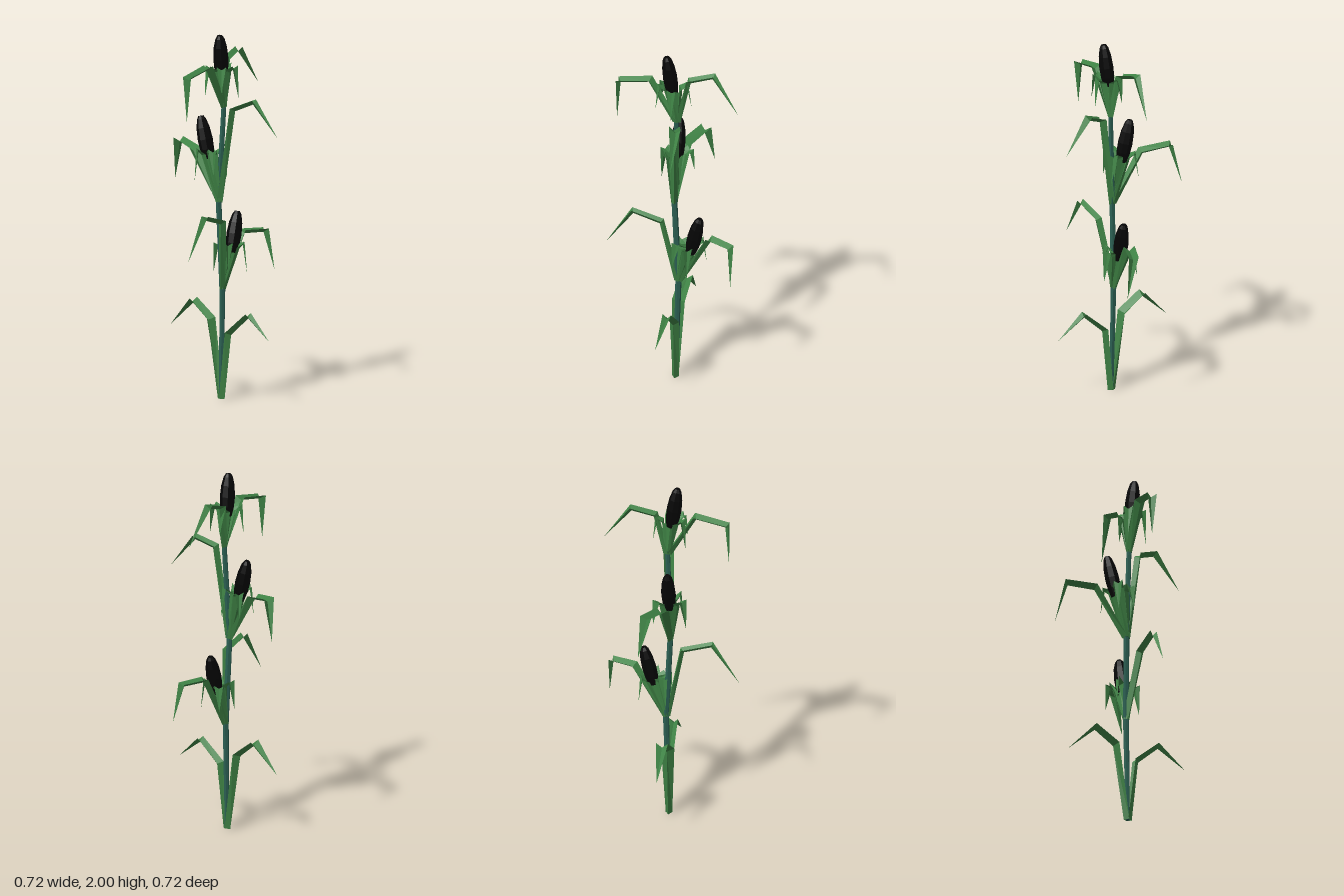
import * as THREE from 'three';

const V = (p) => new THREE.Vector3(...p);
const UP = new THREE.Vector3(0, 1, 0);

// Folded leaf: a V-shaped gutter swept along a few points, closing in a tip.
function leafGeometry(points, widths, fold) {
  const path = points.map(V);
  const last = path.length - 1;
  const out = path[last].clone().sub(path[0]).setY(0).normalize();
  const side = UP.clone().cross(out).normalize();
  const pos = [];
  const index = [];
  path.forEach((p, i) => {
    const before = p.clone().sub(path[Math.max(i - 1, 0)]).normalize();
    const after = path[Math.min(i + 1, last)].clone().sub(p).normalize();
    const normal = before.add(after).normalize().cross(side).normalize();
    const w = widths[i];
    const d = fold * Math.min(1, w / 0.018);
    const edge = (k) => p.clone().addScaledVector(side, k * w).addScaledVector(normal, d / 2);
    const keel = p.clone().addScaledVector(normal, -d / 2);
    pos.push(...edge(-1).toArray(), ...keel.toArray(), ...edge(1).toArray());
    if (i === last) return;
    for (let k = 0; k < 2; k++) {
      const a = i * 3 + k;
      index.push(a, a + 1, a + 3, a + 1, a + 4, a + 3);
    }
  });
  const g = new THREE.BufferGeometry();
  g.setAttribute('position', new THREE.Float32BufferAttribute(pos, 3));
  g.setIndex(index);
  g.computeVertexNormals();
  return g;
}

// Aligns a mesh built along +y with the line from a to b.
function aim(mesh, a, b) {
  mesh.position.copy(a);
  mesh.quaternion.setFromUnitVectors(UP, b.clone().sub(a).normalize());
  return mesh;
}

export function createModel() {
  const plant = new THREE.Group();
  plant.name = 'cornPlant';

  const leafGreen = new THREE.MeshStandardMaterial({ color: 0x3f8345, flatShading: true, side: THREE.DoubleSide });
  leafGreen.name = 'leafGreen';
  const stalkTeal = new THREE.MeshStandardMaterial({ color: 0x2b5f52, flatShading: true });
  stalkTeal.name = 'stalkTeal';
  const cobBlack = new THREE.MeshStandardMaterial({ color: 0x050505, flatShading: true });
  cobBlack.name = 'cobBlack';

  const add = (parent, geometry, material, name) => {
    const mesh = new THREE.Mesh(geometry, material);
    mesh.name = name;
    parent.add(mesh);
    return mesh;
  };

  // Stalk: slightly crooked, slim at the foot where the leaves wrap it
  const nodes = [[0.01, 0, 0.03], [0.025, 0.6, 0.025], [0, 1.08, 0.02], [0.02, 1.6, 0.04], [0.01, 1.72, 0.043]].map(V);
  const radii = [0.012, 0.017, 0.016, 0.014, 0.012];
  for (let i = 0; i < nodes.length - 1; i++) {
    const length = nodes[i].distanceTo(nodes[i + 1]);
    const g = new THREE.CylinderGeometry(radii[i + 1], radii[i], length, 6).translate(0, length / 2, 0);
    aim(add(plant, g, stalkTeal, 'stalkSection' + (i + 1)), nodes[i], nodes[i + 1]);
  }

  // Long leaves: node, shoulder, bend, drooping tip, half width
  const leaves = [
    ['lowerFrontLeaf', 0, [0.02, 0.36, 0.08], [0.03, 0.47, 0.205], [0.025, 0.345, 0.36], 0.027],
    ['lowerBackLeaf', 0, [0, 0.43, -0.045], [0, 0.52, -0.16], [-0.01, 0.37, -0.315], 0.037],
    ['middleRightLeaf', 1, [-0.05, 0.98, 0.085], [-0.21, 1.025, 0.105], [-0.362, 0.805, 0.115], 0.022],
    ['middleLeftLeaf', 1, [0.205, 0.89, 0.02], [0.335, 0.885, 0.06], [0.36, 0.67, 0.108], 0.03],
    ['upperFrontLeaf', 2, [0.03, 1.59, 0.1], [0.08, 1.635, 0.2], [0.105, 1.45, 0.35], 0.029],
    ['upperBackLeaf', 2, [0, 1.35, -0.155], [0.05, 1.38, -0.305], [0.082, 1.16, -0.36], 0.037],
    ['topLeftLeaf', 3, [0.08, 1.845, 0.01], [0.21, 1.885, -0.02], [0.36, 1.685, -0.008], 0.026],
    ['topRightLeaf', 3, [-0.13, 1.835, 0.056], [-0.305, 1.8, 0.066], [-0.316, 1.565, 0.066], 0.03],
  ];
  for (const [name, node, shoulder, bend, tip, w] of leaves) {
    // Each leaf foot sits just outside the node so that its gutter clasps the stalk
    const foot = V(tip).sub(nodes[node]).setY(0).setLength(0.01).add(nodes[node]);
    const path = [foot.toArray(), shoulder, bend, tip];
    add(plant, leafGeometry(path, [0.018, w, w * 0.9, 0], 0.026), leafGreen, name);
  }

  // Ears: a faceted cob sitting in husk leaves that curl outward at the given angles
  const ears = [
    ['lowerEar', 1, [0.095, 0.79, 0.028], [0.15, 1.01, 0.025], [80, 150, 215, -50]],
    ['middleEar', 2, [-0.01, 1.31, -0.04], [-0.014, 1.54, -0.095], [60, 125, 190, -42]],
    ['topEar', 3, [0.0, 1.77, 0.042], [-0.032, 2.0, 0.056], [75, 140, 205, -20]],
  ];
  for (const [name, node, foot, tip, angles] of ears) {
    const ear = new THREE.Group();
    ear.name = name;
    plant.add(ear);
    const c = V(foot);
    const end = V(tip);
    const h = c.distanceTo(end);
    const profile = [[0, 0], [0.028, 0], [0.038, 0.22], [0.041, 0.45], [0.036, 0.72], [0.025, 0.92], [0.014, 1], [0, 1]]
      .map(([r, y]) => new THREE.Vector2(r, y * h));
    aim(add(ear, new THREE.LatheGeometry(profile, 8), cobBlack, 'cob'), c, end);

    // Shank joining the cob to the stalk
    const reach = nodes[node].distanceTo(c);
    const shank = new THREE.CylinderGeometry(0.026, 0.012, reach, 6).translate(0, reach / 2, 0);
    aim(add(ear, shank, leafGreen, 'shank'), nodes[node], c);

    angles.forEach((degrees, i) => {
      const a = THREE.MathUtils.degToRad(degrees);
      const at = (r, y) => [c.x + Math.cos(a) * r, c.y + y, c.z + Math.sin(a) * r];
      const drop = i % 2 ? -0.08 : -0.11;
      const start = nodes[node].clone().add(new THREE.Vector3(Math.cos(a) * 0.012, 0, Math.sin(a) * 0.012));
      const path = [start.toArray(), at(0.042, 0.03), at(0.078, 0.055), at(0.1, drop)];
      add(ear, leafGeometry(path, [0.012, 0.034, 0.025, 0], 0.018), leafGreen, 'huskLeaf' + (i + 1));
    });
  }
  return plant;
}
